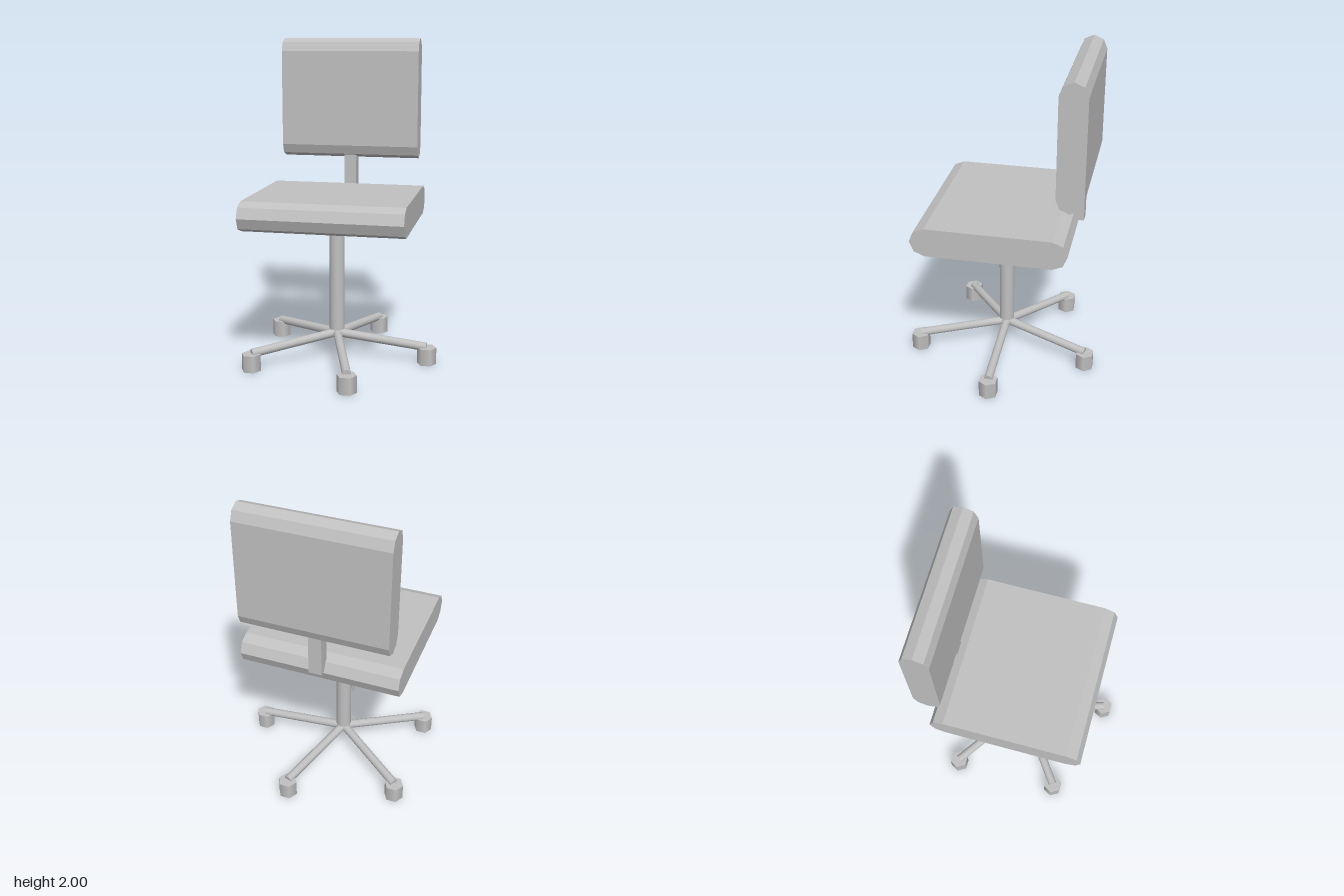
import * as THREE from 'three';

export function createModel() {
  const chair = new THREE.Group();
  chair.name = 'officeChair';
  const grey = new THREE.MeshStandardMaterial({ color: 0xc0c0c0 });
  grey.name = 'plain grey';
  const axisX = -0.055; // the column stands left of the origin

  function add(name, geometry, x = 0, y = 0, z = 0, parent = chair) {
    const mesh = new THREE.Mesh(geometry, grey);
    mesh.name = name;
    mesh.position.set(x, y, z);
    parent.add(mesh);
    return mesh;
  }

  // Cushion: a slab with two faceted half-round ends, extruded across x
  function cushion(length, thickness, width, upright) {
    const r = thickness / 2, c = length / 2 - r;
    const points = [];
    for (let i = 0; i < 10; i++) {
      const end = i < 5 ? 1 : -1;
      const a = -Math.PI / 2 + (i < 5 ? i : i - 1) * Math.PI / 4;
      const along = end * c + r * Math.cos(a), across = r * Math.sin(a);
      points.push(upright ? new THREE.Vector2(-across, along) : new THREE.Vector2(along, across));
    }
    return new THREE.ExtrudeGeometry(new THREE.Shape(points), { depth: width, bevelEnabled: false })
      .translate(0, 0, -width / 2)
      .rotateY(-Math.PI / 2);
  }

  add('seat', cushion(0.938, 0.18, 0.98, false), axisX, 0.975, 0.018);
  add('backrest', cushion(0.77, 0.162, 0.894, true), axisX, 1.615, -0.447);
  add('backPost', new THREE.BoxGeometry(0.08, 0.28, 0.08), axisX, 1.125, -0.446);
  add('column', new THREE.CylinderGeometry(0.048, 0.048, 0.71, 16), axisX, 0.545, 0);

  // Five sloping legs, each ending on a six-sided foot
  const up = new THREE.Vector3(0, 1, 0);
  for (let i = 0; i < 5; i++) {
    const a = i * Math.PI * 2 / 5;
    const start = new THREE.Vector3(axisX, 0.165, 0);
    const end = new THREE.Vector3(axisX + 0.57 * Math.cos(a), 0.107, 0.57 * Math.sin(a));
    const direction = end.clone().sub(start);
    const middle = start.clone().add(end).multiplyScalar(0.5);
    const leg = add('leg' + (i + 1), new THREE.CylinderGeometry(0.027, 0.027, direction.length(), 10),
      middle.x, middle.y, middle.z);
    leg.quaternion.setFromUnitVectors(up, direction.normalize());
    add('foot' + (i + 1), new THREE.CylinderGeometry(0.06, 0.06, 0.105, 6, 1, false, Math.PI / 2),
      axisX + 0.573 * Math.cos(a), 0.0525, 0.573 * Math.sin(a));
  }
  return chair;
}
